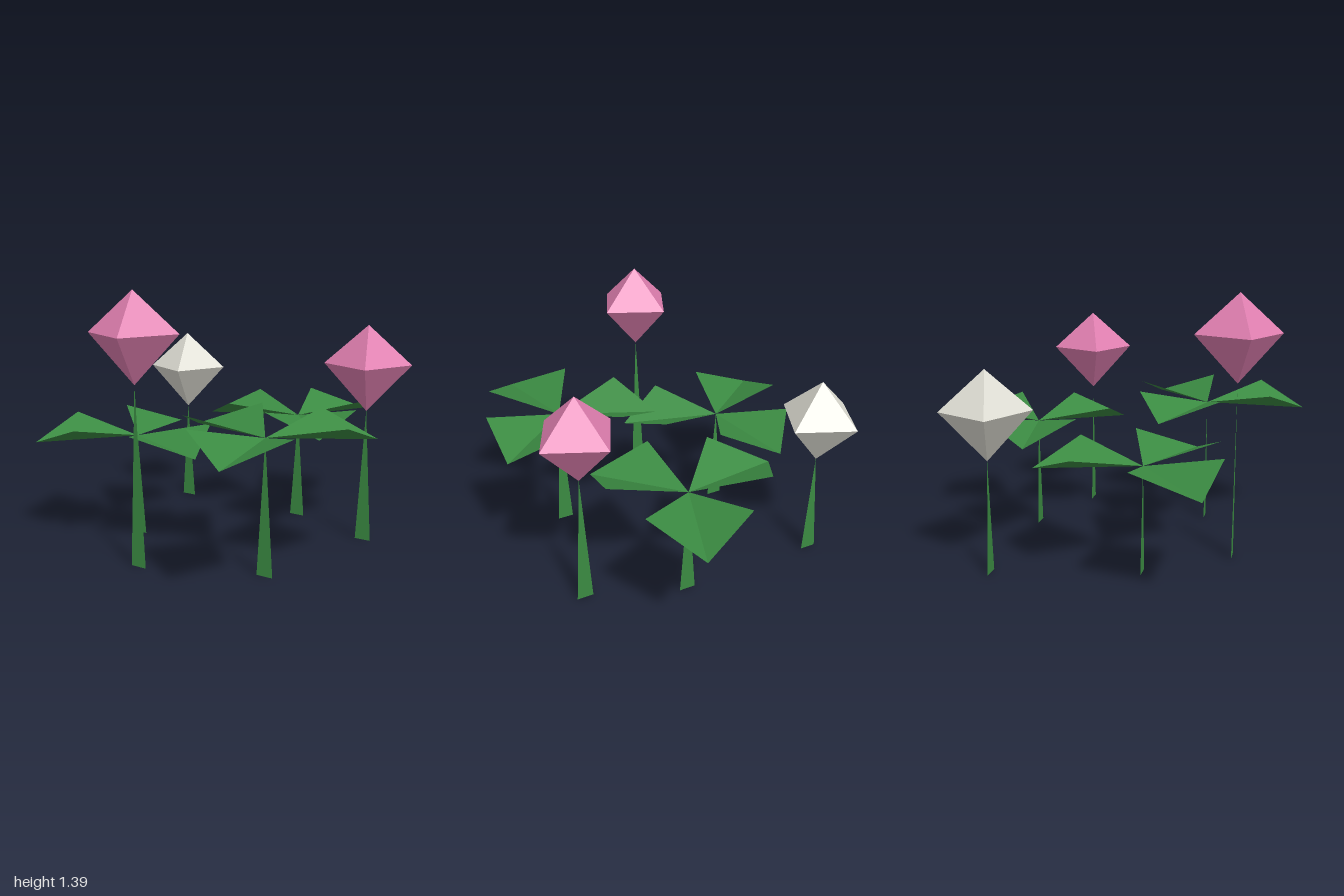
import * as THREE from 'three';

const leafGreen = new THREE.MeshStandardMaterial({ color: 0x3b8b42, side: THREE.DoubleSide });
leafGreen.name = 'leaf green';
const petalPink = new THREE.MeshStandardMaterial({ color: 0xe07fb0 });
petalPink.name = 'petal pink';
const petalWhite = new THREE.MeshStandardMaterial({ color: 0xdfded4 });
petalWhite.name = 'petal white';

// Flat faceted geometry from a list of triangle corners
function facets(points) {
  const g = new THREE.BufferGeometry();
  g.setAttribute('position', new THREE.Float32BufferAttribute(points.flat(), 3));
  g.computeVertexNormals();
  return g;
}

function part(name, geometry, material, parent) {
  const mesh = new THREE.Mesh(geometry, material);
  mesh.name = name;
  parent.add(mesh);
  return mesh;
}

// Flat tapering blade, wide at the ground and pointed at the top
function addStem(parent, height) {
  part('stem', facets([[-0.045, 0, 0], [0.045, 0, 0], [0, height, 0]]), leafGreen, parent);
}

// Leaf folded along its midline, pointing along +x from the stem top
const root = [0, 0, 0], tip = [0.553, -0.023, 0];
const leafGeometry = facets([
  root, [0.334, 0.09, 0.256], tip,
  root, tip, [0.334, 0.09, -0.256],
]);

// Four-sided bud, slightly longer below its widest ring
const budGeometry = new THREE.OctahedronGeometry(1, 0);
const p = budGeometry.attributes.position;
for (let i = 0; i < p.count; i++) {
  const y = p.getY(i);
  p.setXYZ(i, p.getX(i) * 0.23, y * (y > 0 ? 0.207 : 0.253), p.getZ(i) * 0.23);
}
budGeometry.rotateY(0.355);
budGeometry.computeVertexNormals();

export function createModel() {
  const model = new THREE.Group();
  model.name = 'flowerPatch';

  // Leaf plants: x, z, stem height, direction of the first leaf in degrees
  for (const [x, z, height, angle] of [
    [-0.465, 0.265, 0.56, 20],
    [0.137, -0.48, 0.61, 50],
    [0.46, 0.45, 0.70, 80],
  ]) {
    const plant = new THREE.Group();
    plant.name = 'leafPlant';
    plant.position.set(x, 0, z);
    addStem(plant, height);
    for (let i = 0; i < 3; i++) {
      const leaf = part('leaf', leafGeometry, leafGreen, plant);
      leaf.position.y = height;
      leaf.rotation.y = -THREE.MathUtils.degToRad(angle + i * 120);
    }
    model.add(plant);
  }

  // Flowers: x, z, height of the bud's widest ring, petal colour
  for (const [x, z, y, material] of [
    [-0.14, 0.682, 1.185, petalPink],
    [0.648, -0.293, 0.976, petalPink],
    [-0.652, -0.478, 0.837, petalWhite],
  ]) {
    const flower = new THREE.Group();
    flower.name = 'flower';
    flower.position.set(x, 0, z);
    addStem(flower, y - 0.25);
    part('bud', budGeometry, material, flower).position.y = y;
    model.add(flower);
  }
  return model;
}
